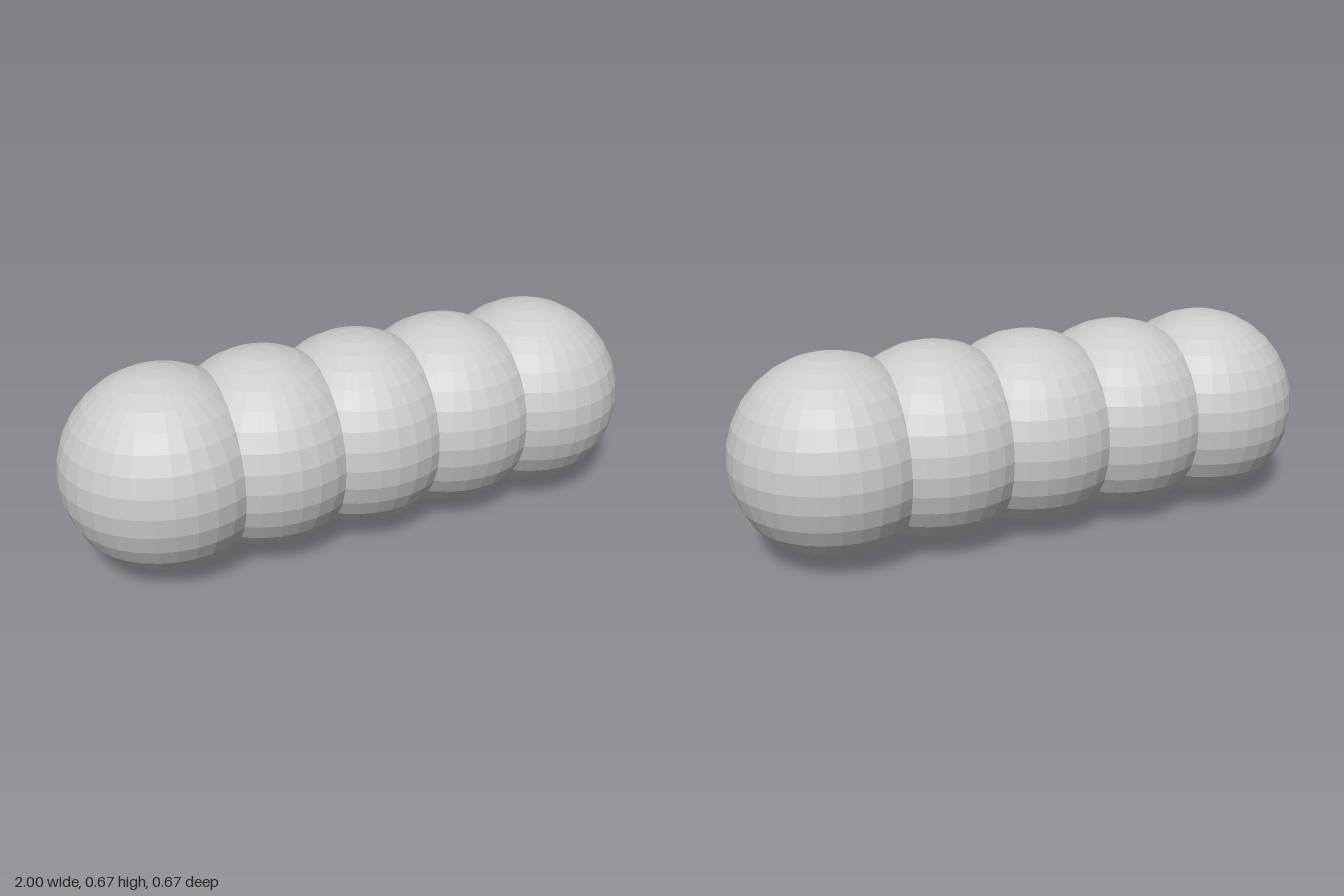
import * as THREE from 'three';

const RADIUS = 1 / 3;
const COUNT = 5;

export function createModel() {
  const model = new THREE.Group();
  model.name = 'sphereChain';

  const material = new THREE.MeshStandardMaterial({ color: 0xcccccc, flatShading: true });
  const geometry = new THREE.SphereGeometry(RADIUS, 32, 16);

  // Row of equal faceted spheres, each overlapping its neighbour by one radius
  for (let i = 0; i < COUNT; i++) {
    const sphere = new THREE.Mesh(geometry, material);
    sphere.name = `sphere${i + 1}`;
    sphere.position.set((i - (COUNT - 1) / 2) * RADIUS, RADIUS, 0);
    model.add(sphere);
  }

  return model;
}
